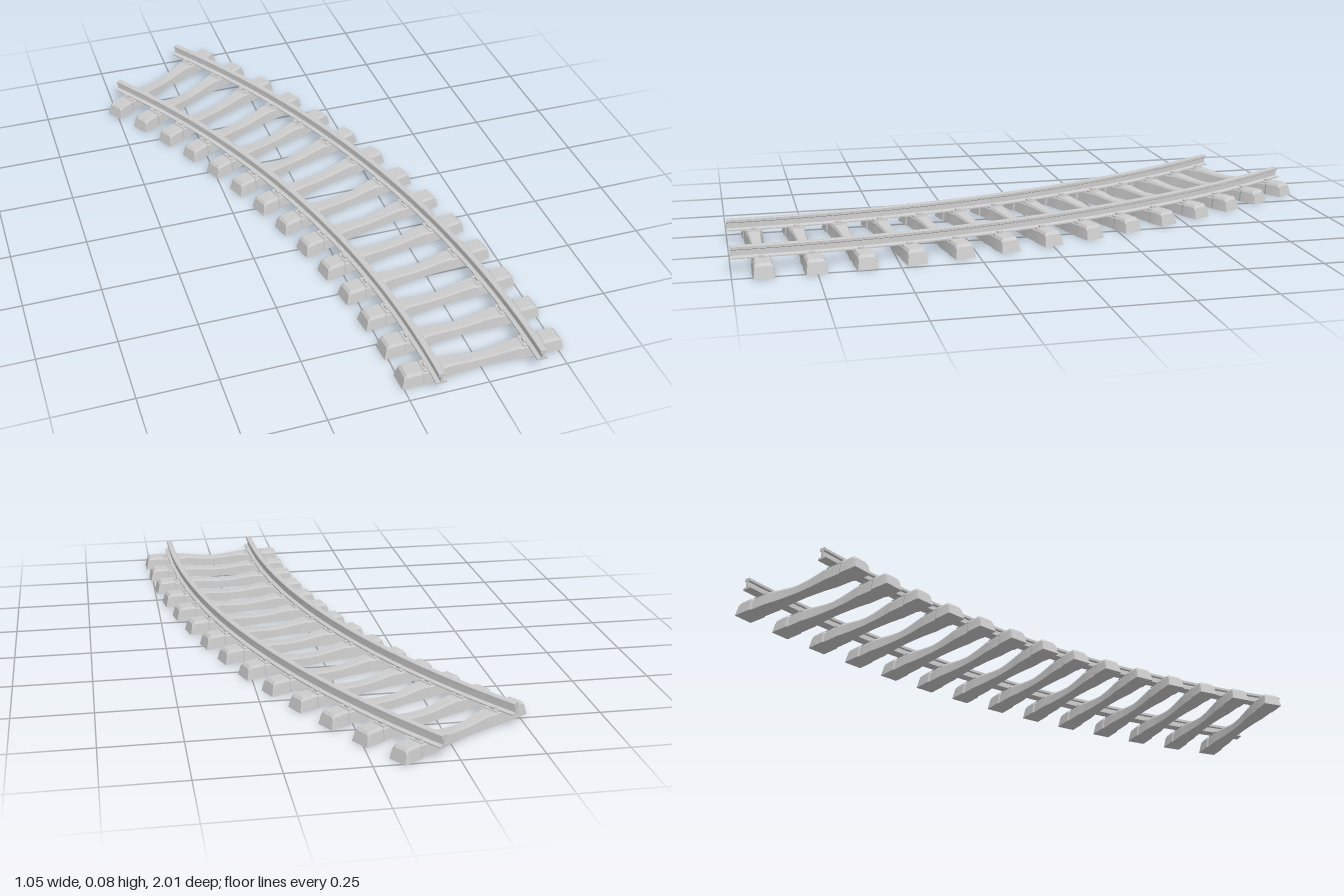
import * as THREE from 'three';
import { toCreasedNormals } from 'three/addons/utils/BufferGeometryUtils.js';

const RADIUS = 3.36;   // centre line of the curve
const SWEEP = 0.602;   // angle covered by the rails
const GAUGE = 0.32;    // distance between the rail centres
const TIES = 14;
const material = new THREE.MeshStandardMaterial({ color: 0xcccccc, side: THREE.DoubleSide });

// Right half of the rail section, from foot to head: [offset, height]
const halfRail = [[0.017, 0.041], [0.017, 0.045], [0.005, 0.049], [0.004, 0.065],
  [0.010, 0.068], [0.010, 0.076], [0.008, 0.078]];

function makeRail(name, radius) {
  const rail = new THREE.Group();
  rail.name = name;
  const section = [...halfRail, ...halfRail.map(([x, y]) => [-x, y]).reverse()]
    .map(([x, y]) => new THREE.Vector2(radius + x, y));
  // Curved body
  const body = new THREE.LatheGeometry([...section, section[0]], 40, Math.PI / 2, SWEEP);
  const bodyMesh = new THREE.Mesh(toCreasedNormals(body, 0.4), material);
  bodyMesh.name = 'railBody';
  rail.add(bodyMesh);
  // Cut ends
  for (const angle of [0, SWEEP]) {
    const end = new THREE.Mesh(new THREE.ShapeGeometry(new THREE.Shape(section)), material);
    end.name = 'railEnd';
    end.rotation.y = angle;
    rail.add(end);
  }
  return rail;
}

// Half of a sleeper from tip to middle: [x, half width, height, end slope]
const halfTie = [[0.262, 0.032, 0.036, 0.25], [0.256, 0.033, 0.044, 0.25], [0.197, 0.033, 0.045, 0],
  [0.190, 0.029, 0.041, 0], [0.125, 0.029, 0.041, 0], [0.115, 0.027, 0.043, 0],
  [0.075, 0.023, 0.038, 0], [0.035, 0.021, 0.033, 0]];

function makeTieGeometry() {
  const stations = [...halfTie.map(([x, w, h, s]) => [-x, w, h, -s]),
    [0, 0.020, 0.031, 0], ...halfTie.slice().reverse()];
  const position = [], index = [];
  const n = 6;
  for (const [x, w, h, slope] of stations) {
    // Bevelled trapezoid section
    const half = [[w, 0], [w * 0.86, h * 0.82], [w * 0.68, h]];
    const ring = [...half.map(([z, y]) => [-z, y]), ...half.slice().reverse()];
    for (const [z, y] of ring) position.push(x - slope * y, y, z);
  }
  for (let i = 0; i < stations.length - 1; i++) {
    for (let j = 0; j < n; j++) {
      const a = i * n + j, d = i * n + (j + 1) % n;
      index.push(a, d, a + n, d, d + n, a + n);
    }
  }
  const last = (stations.length - 1) * n;
  for (let k = 1; k < n - 1; k++) {
    index.push(0, k + 1, k, last, last + k, last + k + 1);
  }
  const geometry = new THREE.BufferGeometry();
  geometry.setAttribute('position', new THREE.Float32BufferAttribute(position, 3));
  geometry.setIndex(index);
  return toCreasedNormals(geometry, 0.3);
}

export function createModel() {
  const model = new THREE.Group();
  model.name = 'curvedTrack';

  // Everything turns about the centre of the curve
  const track = new THREE.Group();
  track.name = 'track';
  track.position.set(0.256 - RADIUS, 0, 1);
  model.add(track);

  track.add(makeRail('innerRail', RADIUS - GAUGE / 2), makeRail('outerRail', RADIUS + GAUGE / 2));

  const tieGeometry = makeTieGeometry();
  const plateGeometry = new THREE.BoxGeometry(0.06, 0.004, 0.046);
  const clipGeometry = new THREE.BoxGeometry(0.011, 0.008, 0.018);

  for (let i = 0; i < TIES; i++) {
    const sleeper = new THREE.Group();
    sleeper.name = 'sleeper';
    sleeper.rotation.y = (0.087 + i * 0.143) / RADIUS;
    track.add(sleeper);

    const tie = new THREE.Mesh(tieGeometry, material);
    tie.name = 'tie';
    tie.position.x = RADIUS;
    sleeper.add(tie);

    // Rail seat plates with a clip on either side of the foot
    for (const side of [-1, 1]) {
      const seat = RADIUS + side * GAUGE / 2;
      const plate = new THREE.Mesh(plateGeometry, material);
      plate.name = 'railPlate';
      plate.position.set(seat, 0.041, 0);
      sleeper.add(plate);
      for (const edge of [-1, 1]) {
        const clip = new THREE.Mesh(clipGeometry, material);
        clip.name = 'railClip';
        clip.position.set(seat + edge * 0.018, 0.045, 0);
        sleeper.add(clip);
      }
    }
  }
  return model;
}
